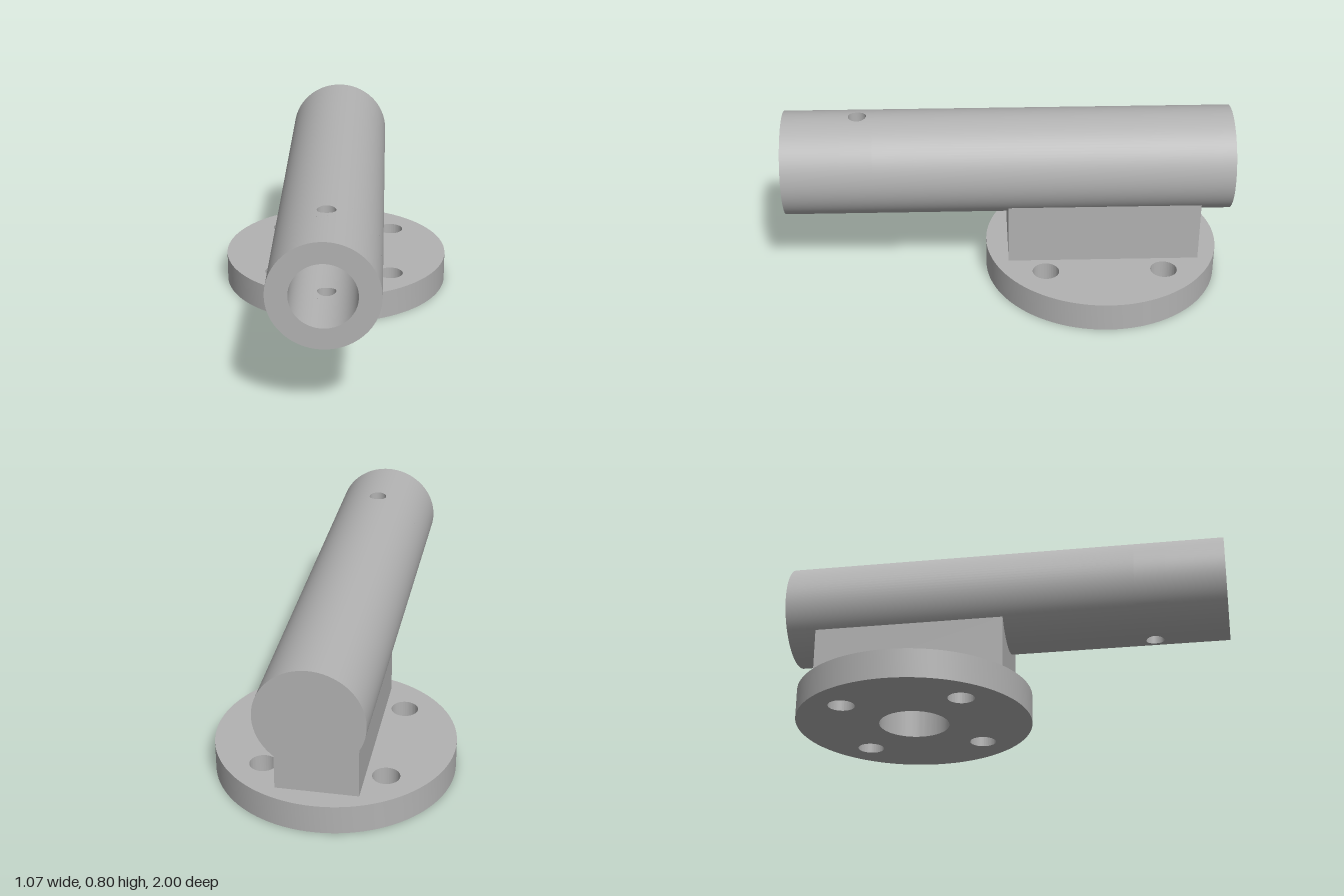
import * as THREE from 'three';
import { toCreasedNormals } from 'three/addons/utils/BufferGeometryUtils.js';

const AXIS_Y = 0.567, OUTER = 0.233, BORE = 0.14, BORE_END = 0;
const PIN_Z = 0.667, PIN_R = 0.04, PATCH = 0.07;
const BASE_Z = -0.433, BASE_R = 0.533, BASE_H = 0.133;
const RECESS_R = 0.158, RECESS_TOP = 0.167;

// Smooth surface grid; at(u, v) returns [position, normal], winding follows the normal
function grid(at, nu, nv) {
  const pos = [], nor = [], index = [];
  for (let j = 0; j <= nv; j++) for (let i = 0; i <= nu; i++) {
    const [p, n] = at(i / nu, j / nv);
    pos.push(p.x, p.y, p.z);
    nor.push(n.x, n.y, n.z);
  }
  const v = k => new THREE.Vector3().fromArray(pos, k * 3);
  const e1 = v(1).sub(v(0)), e2 = v(nu + 1).sub(v(0));
  const flip = e1.cross(e2).dot(new THREE.Vector3().fromArray(nor)) < 0;
  for (let j = 0; j < nv; j++) for (let i = 0; i < nu; i++) {
    const a = j * (nu + 1) + i, b = a + 1, c = a + nu + 1, d = c + 1;
    index.push(...(flip ? [a, c, b, b, c, d] : [a, b, c, b, d, c]));
  }
  const g = new THREE.BufferGeometry();
  g.setAttribute('position', new THREE.Float32BufferAttribute(pos, 3));
  g.setAttribute('normal', new THREE.Float32BufferAttribute(nor, 3));
  g.setIndex(index);
  return g;
}

// Point on a cylinder wall around the tube axis, angle measured from the top
const onWall = (r, t, z, side) => [
  new THREE.Vector3(r * Math.sin(t), AXIS_Y + r * Math.cos(t), z),
  new THREE.Vector3(side * Math.sin(t), side * Math.cos(t), 0),
];
const arcWall = (r, side, t0, t1, z0, z1, n) =>
  grid((u, v) => onWall(r, t0 + (t1 - t0) * u, z0 + (z1 - z0) * v, side), n, 1);

// Cylinder wall with the cross-pin hole cut through top and bottom
function piercedWall(r, side, z0, z1) {
  const a = Math.asin(PATCH / r), parts = [
    arcWall(r, side, 0, Math.PI * 2, z0, PIN_Z - PATCH, 96),
    arcWall(r, side, 0, Math.PI * 2, PIN_Z + PATCH, z1, 96),
  ];
  for (const s of [0, Math.PI]) {
    parts.push(arcWall(r, side, s + a, s + Math.PI - a, PIN_Z - PATCH, PIN_Z + PATCH, 48));
    // Square patch blending into the round hole
    parts.push(grid((u, v) => {
      const t = u * Math.PI * 2, c = Math.cos(t), d = Math.sin(t);
      const k = THREE.MathUtils.lerp(PIN_R, PATCH / Math.max(Math.abs(c), Math.abs(d)), v);
      return onWall(r, s + Math.asin(c * k / r), PIN_Z + d * k, side);
    }, 48, 5));
  }
  return parts;
}

// Cross-pin hole lining between bore and outer wall
const pinLining = sign => grid((u, v) => {
  const t = u * Math.PI * 2, x = PIN_R * Math.cos(t), r = v ? OUTER : BORE;
  return [
    new THREE.Vector3(x, AXIS_Y + sign * Math.sqrt(r * r - x * x), PIN_Z + PIN_R * Math.sin(t)),
    new THREE.Vector3(-Math.cos(t), 0, -Math.sin(t)),
  ];
}, 48, 1);

// Flat horizontal plate with round holes given as [x, y, radius]
function plate(shape, holes, height) {
  for (const [x, y, r] of holes) {
    const h = new THREE.Path();
    h.absarc(x, y, r, 0, Math.PI * 2, true);
    shape.holes.push(h);
  }
  const g = new THREE.ExtrudeGeometry(shape, { depth: height, bevelEnabled: false, curveSegments: 64 });
  return toCreasedNormals(g.rotateX(-Math.PI / 2), 0.6);
}

export function createModel() {
  const model = new THREE.Group();
  const steel = new THREE.MeshStandardMaterial({ color: 0xb2b2b2 });
  steel.name = 'grey steel';
  steel.side = THREE.DoubleSide;

  const add = (parent, name, geometry, x = 0, y = 0, z = 0) => {
    const m = new THREE.Mesh(geometry, steel);
    m.name = name;
    m.position.set(x, y, z);
    parent.add(m);
    return m;
  };
  const group = name => {
    const g = new THREE.Group();
    g.name = name;
    model.add(g);
    return g;
  };

  // Horizontal tube with a blind bore from the front
  const tube = group('tube');
  piercedWall(OUTER, 1, -1, 1).forEach(g => add(tube, 'tubeOuterWall', g));
  piercedWall(BORE, -1, BORE_END, 1).forEach(g => add(tube, 'tubeBore', g));
  for (const s of [1, -1]) add(tube, 'pinHole', pinLining(s));
  add(tube, 'tubeFrontRim', new THREE.RingGeometry(BORE, OUTER, 96), 0, AXIS_Y, 1);
  add(tube, 'tubeBackCap', new THREE.CircleGeometry(OUTER, 96), 0, AXIS_Y, -1).rotation.y = Math.PI;
  add(tube, 'boreEnd', new THREE.CircleGeometry(BORE, 96), 0, AXIS_Y, BORE_END);

  // Round flange with four bolt holes and a central recess
  const disc = new THREE.Shape();
  disc.absarc(0, 0, BASE_R, 0, Math.PI * 2, false);
  const bolts = [-1, 1].flatMap(i => [-1, 1].map(j => [i * 0.267, j * 0.267, 0.06]));
  add(model, 'baseFlange', plate(disc, [...bolts, [0, 0, RECESS_R]], BASE_H), 0, 0, BASE_Z);

  // Rectangular post, its foot hollowed by the recess
  const post = group('post');
  const w = 0.18, l = 0.433, top = 0.419;
  const foot = new THREE.Shape([[-w, -l], [w, -l], [w, l], [-w, l]].map(p => new THREE.Vector2(...p)));
  add(post, 'postFoot', plate(foot, [[0, 0, RECESS_R]], RECESS_TOP - BASE_H), 0, BASE_H, BASE_Z);
  add(post, 'postBody', new THREE.BoxGeometry(w * 2, top - RECESS_TOP, l * 2),
    0, (top + RECESS_TOP) / 2, BASE_Z);

  return model;
}
